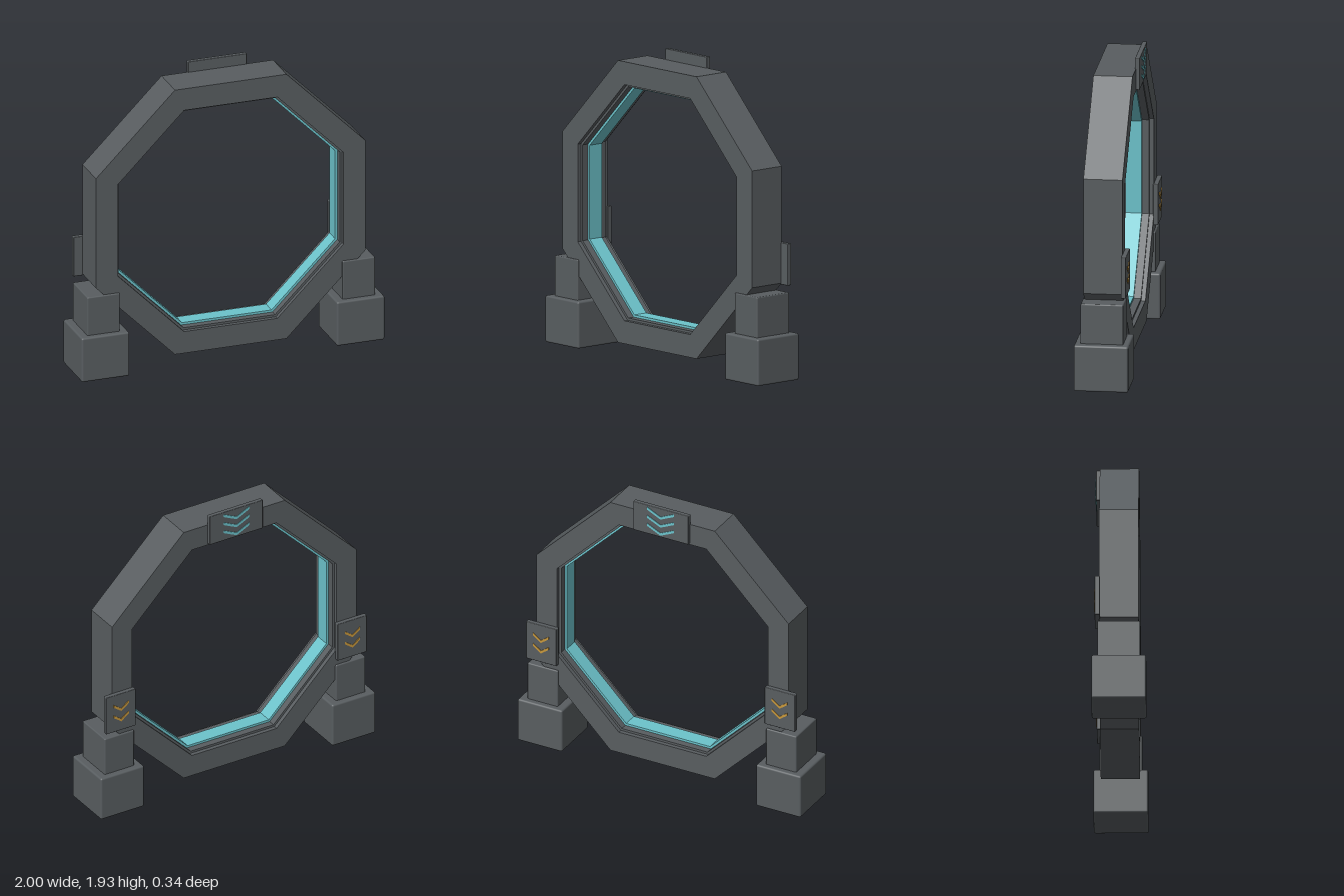
import * as THREE from 'three';
import { RoundedBoxGeometry } from 'three/addons/geometries/RoundedBoxGeometry.js';

const CENTER_Y = 0.97;

function mat(name, color) {
  const m = new THREE.MeshStandardMaterial({ color });
  m.name = name;
  return m;
}

// Corners of an octagon with flat top and sides, from its apothem
function octagon(apothem) {
  const r = apothem / Math.cos(Math.PI / 8);
  return Array.from({ length: 8 }, (_, i) => {
    const a = Math.PI / 8 + (i * Math.PI) / 4;
    return new THREE.Vector2(r * Math.cos(a), r * Math.sin(a));
  });
}

// Octagonal ring centred on z = 0
function ring(name, outer, inner, depth, material) {
  const shape = new THREE.Shape(octagon(outer));
  shape.holes.push(new THREE.Path(octagon(inner).reverse()));
  const g = new THREE.ExtrudeGeometry(shape, { depth, bevelEnabled: false });
  g.translate(0, CENTER_Y, -depth / 2);
  const m = new THREE.Mesh(g, material);
  m.name = name;
  return m;
}

function block(name, size, pos, radius, material) {
  const m = new THREE.Mesh(new RoundedBoxGeometry(...size, 2, radius), material);
  m.position.set(...pos);
  m.name = name;
  return m;
}

// Stack of thin downward chevrons, centred on its own origin
function chevrons(name, count, width, drop, spacing, stroke, material) {
  const group = new THREE.Group();
  group.name = name;
  const w = width / 2, h = drop / 2;
  const shape = new THREE.Shape([
    [-w, h], [0, -h], [w, h], [w, h + stroke], [0, -h + stroke], [-w, h + stroke],
  ].map(([x, y]) => new THREE.Vector2(x, y - stroke / 2)));
  const g = new THREE.ExtrudeGeometry(shape, { depth: 0.006, bevelEnabled: false });
  g.translate(0, 0, -0.003);
  for (let i = 0; i < count; i++) {
    const m = new THREE.Mesh(g, material);
    m.name = 'chevron';
    m.position.y = (i - (count - 1) / 2) * spacing;
    group.add(m);
  }
  return group;
}

export function createModel() {
  const model = new THREE.Group();
  model.name = 'octagonalGate';
  const metal = mat('dark grey metal', 0x585d60);
  const cyan = mat('cyan light', 0x6cc3cb);
  const amber = mat('amber marking', 0xc8983c);

  // Main frame with a stepped inner lining and a light strip
  model.add(
    ring('frame', 0.89, 0.745, 0.244, metal),
    ring('innerLining', 0.76, 0.73, 0.19, metal),
    ring('lightStrip', 0.75, 0.715, 0.1, cyan),
  );

  // Sign plate at the top of the back
  model.add(block('topPlate', [0.39, 0.205, 0.03], [0, 1.828, -0.131], 0.005, metal));
  const topMarks = chevrons('topChevrons', 3, 0.19, 0.045, 0.058, 0.018, cyan);
  topMarks.position.set(0, 1.828, -0.147);
  model.add(topMarks);

  // Feet and side plates, mirrored
  for (const [side, s] of [['left', 1], ['right', -1]]) {
    model.add(
      block(side + 'Foot', [0.315, 0.295, 0.34], [s * 0.8425, 0.1475, 0], 0.012, metal),
      block(side + 'Post', [0.215, 0.28, 0.266], [s * 0.8425, 0.41, 0], 0.008, metal),
      block(side + 'Plate', [0.215, 0.265, 0.032], [s * 0.8425, 0.725, -0.134], 0.005, metal),
    );
    const marks = chevrons(side + 'Chevrons', 2, 0.11, 0.04, 0.075, 0.018, amber);
    marks.position.set(s * 0.8425, 0.725, -0.151);
    model.add(marks);
  }
  return model;
}
